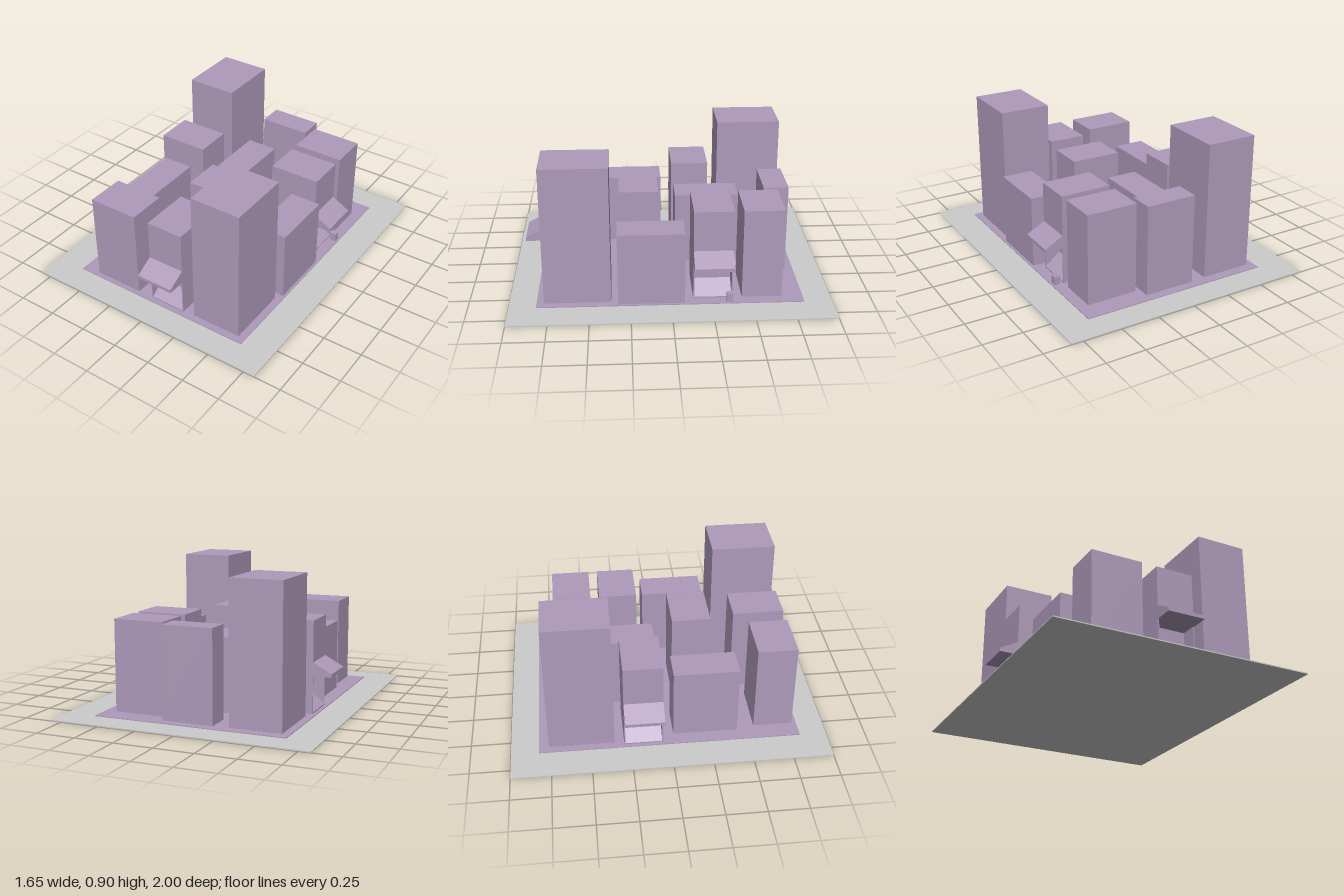
import * as THREE from 'three';

const BASE = 0.012; // level of the paved block

export function createModel() {
  const city = new THREE.Group();
  city.name = 'cityBlock';
  const grey = new THREE.MeshStandardMaterial({ color: 0xcccccc });
  const purple = new THREE.MeshStandardMaterial({ color: 0xae9aba });

  // Box given by its x, y and z ranges
  function box(name, x0, x1, y0, y1, z0, z1, material = purple, parent = city) {
    const mesh = new THREE.Mesh(new THREE.BoxGeometry(x1 - x0, y1 - y0, z1 - z0), material);
    mesh.position.set((x0 + x1) / 2, (y0 + y1) / 2, (z0 + z1) / 2);
    mesh.name = name;
    parent.add(mesh);
    return mesh;
  }

  // Side profile in (z, y), extruded along x and centred
  function prism(name, points, width, parent) {
    const shape = new THREE.Shape(points.map(([z, y]) => new THREE.Vector2(z, y)));
    const geometry = new THREE.ExtrudeGeometry(shape, { depth: width, bevelEnabled: false });
    geometry.translate(0, 0, -width / 2);
    geometry.rotateY(-Math.PI / 2);
    const mesh = new THREE.Mesh(geometry, purple);
    mesh.name = name;
    parent.add(mesh);
  }

  // Shop facing local +z, its front wall at z = 0
  function shop(name, x, z, turn, width, depth) {
    const group = new THREE.Group();
    group.name = name;
    const h = 0.595, jamb = 0.007, recess = 0.1, w = width / 2;
    // Body with a recessed window and a sloping display
    prism('shopBody', [
      [-depth, BASE], [0, BASE], [0, 0.02], [-recess, 0.1],
      [-recess, 0.25], [0, 0.25], [0, h], [-depth, h],
    ], width - 2 * jamb, group);
    for (const s of [-1, 1]) {
      const inner = s * (w - jamb), outer = s * w;
      box('shopSideWall', Math.min(inner, outer), Math.max(inner, outer), BASE, h, -depth, 0, purple, group);
    }
    // Sloping awning over the window
    prism('awning', [[0, 0.25], [0.118, 0.25], [0.118, 0.272], [0, 0.336]], width, group);
    group.position.set(x, 0, z);
    group.rotation.y = turn;
    city.add(group);
  }

  // Ground plate and paved block
  box('groundPlate', -0.825, 0.825, 0, 0.007, -1, 1, grey);
  box('pavedBlock', -0.62, 0.62, 0.007, BASE, -0.825, 0.83);

  // Plain buildings: x range, z range, height
  const buildings = [
    ['tower', -0.573, -0.243, -0.763, -0.35, 0.892],
    ['tower', 0.245, 0.573, 0.37, 0.785, 0.896],
    ['midBuilding', -0.143, 0.187, -0.77, -0.61, 0.595],
    ['midBuilding', 0.217, 0.547, -0.693, -0.443, 0.595],
    ['midBuilding', -0.113, 0.217, 0.063, 0.313, 0.595],
    ['midBuilding', -0.503, -0.173, 0.55, 0.8, 0.595],
    ['lowBuilding', -0.17, 0.033, -0.467, -0.053, 0.487],
    ['lowBuilding', 0.4, 0.605, -0.085, 0.328, 0.478],
    ['lowBuilding', -0.53, -0.323, 0.027, 0.438, 0.478],
  ];
  for (const [name, x0, x1, z0, z1, h] of buildings) box(name, x0, x1, BASE, h, z0, z1);

  // Shops on three sides of the block
  shop('frontShop', 0.051, 0.797, 0, 0.244, 0.33);
  shop('leftShop', 0.548, -0.262, Math.PI / 2, 0.246, 0.33);
  shop('rightShop', -0.598, -0.167, -Math.PI / 2, 0.246, 0.33);

  // Small crate on the pavement beside the left shop
  box('pavementCrate', 0.57, 0.608, BASE, 0.067, -0.382, -0.344);

  return city;
}
